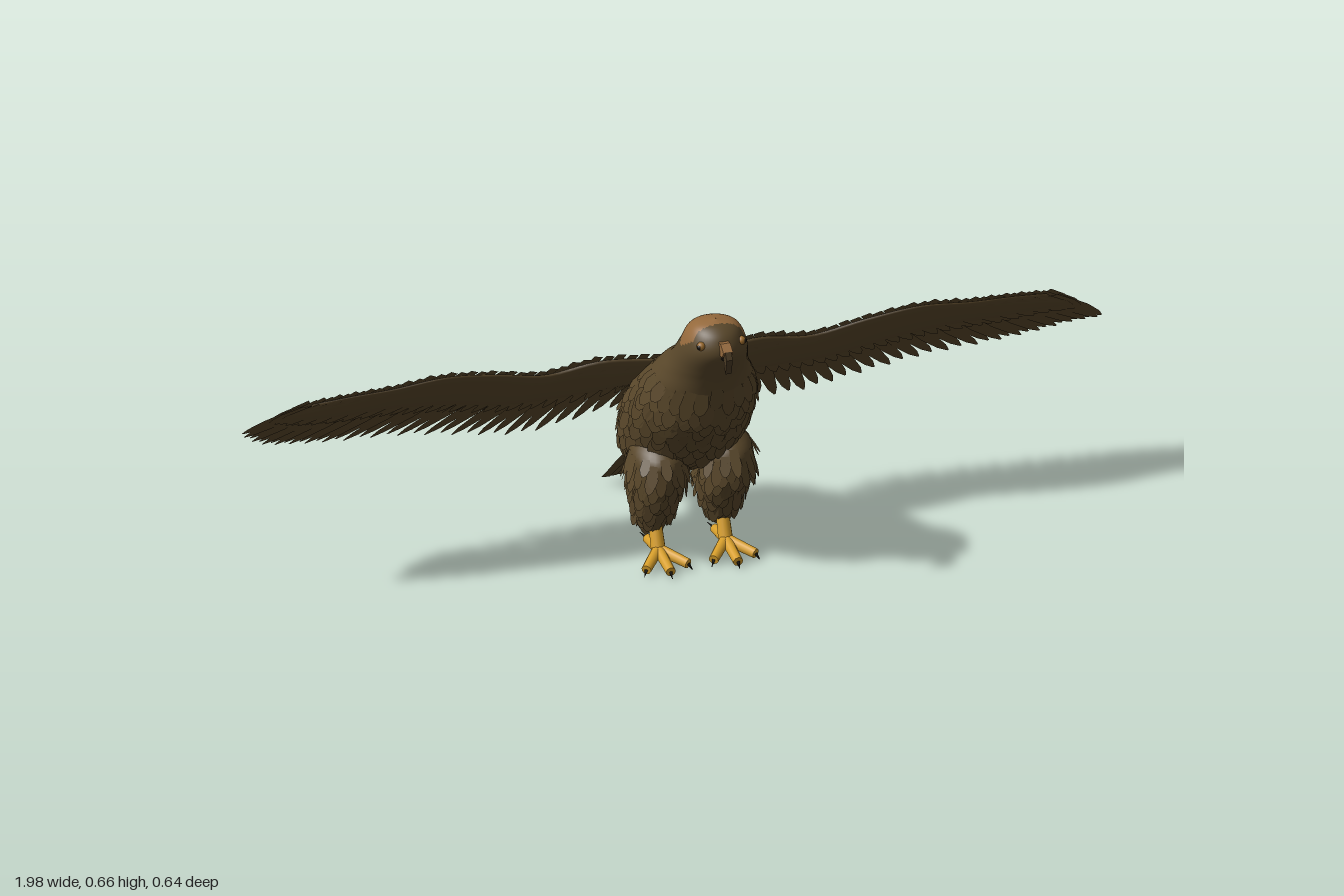
import * as THREE from 'three';
import { mergeGeometries } from 'three/addons/utils/BufferGeometryUtils.js';

const V = (x, y, z) => new THREE.Vector3(x, y, z);
const CX = 0.02; // body centre line

const mat = (name, color, side = THREE.FrontSide) => {
  const m = new THREE.MeshStandardMaterial({ color, side });
  m.name = name;
  return m;
};

function createRandom(seed) {
  return () => {
    seed = (seed * 16807) % 2147483647;
    return seed / 2147483647;
  };
}

// Surface through horizontal slices [y, zFront, zBack, halfWidth], ordered downward
function sliceSurface(slices, xc) {
  const a = new THREE.CatmullRomCurve3(slices.map(s => V(s[0], s[1], s[2])), false, 'catmullrom', 0.5);
  const b = new THREE.CatmullRomCurve3(slices.map(s => V(s[0], s[3], 0)), false, 'catmullrom', 0.5);
  return (t, ang) => {
    const p = a.getPoint(Math.min(t, 1)), w = b.getPoint(Math.min(t, 1)).y;
    return V(xc + w * Math.sin(ang), p.x, (p.y + p.z) / 2 + (p.y - p.z) / 2 * Math.cos(ang));
  };
}

// Closed tube over a surface(t, angle); faces passing test() go to material 1
function loft(surface, rows, cols, test = () => false) {
  const pos = [], faces = [[], []], pts = [];
  for (let i = 0; i <= rows; i++) for (let j = 0; j < cols; j++) {
    const p = surface(i / rows, j / cols * Math.PI * 2);
    pts.push(p);
    pos.push(p.x, p.y, p.z);
  }
  for (let i = 0; i < rows; i++) for (let j = 0; j < cols; j++) {
    const k = (j + 1) % cols, a = i * cols + j, b = i * cols + k, c = a + cols, d = b + cols;
    const mid = pts[a].clone().add(pts[d]).multiplyScalar(0.5);
    faces[test(mid) ? 1 : 0].push(a, c, b, b, c, d);
  }
  const g = new THREE.BufferGeometry();
  g.setAttribute('position', new THREE.Float32BufferAttribute(pos, 3));
  g.setIndex([...faces[0], ...faces[1]]);
  g.addGroup(0, faces[0].length, 0);
  g.addGroup(faces[0].length, faces[1].length, 1);
  g.computeVertexNormals();
  return g;
}

// Flat feather from base to tip
function feather(base, tip, halfWidth, normal, tipScale = 0.06) {
  const side = normal.clone().cross(tip.clone().sub(base)).normalize();
  const pos = [], idx = [];
  [[0, 0.75], [0.6, 1], [0.88, Math.max(0.62, tipScale)], [1, tipScale]].forEach(([t, w], i) => {
    const c = base.clone().lerp(tip, t);
    for (const s of [1, -1]) {
      const p = c.clone().addScaledVector(side, s * w * halfWidth);
      pos.push(p.x, p.y, p.z);
    }
    if (i) idx.push(2 * i - 2, 2 * i - 1, 2 * i, 2 * i, 2 * i - 1, 2 * i + 1);
  });
  const g = new THREE.BufferGeometry();
  g.setAttribute('position', new THREE.Float32BufferAttribute(pos, 3));
  g.setIndex(idx);
  g.computeVertexNormals();
  return g;
}

// Rows of overlapping feathers lying on a surface
function plumage(surface, o) {
  const rnd = createRandom(o.seed), list = [];
  for (let i = 0; i < o.rows; i++) for (let j = 0; j < o.cols; j++) {
    const t = o.from + (o.to - o.from) * (i + rnd() * 0.7) / o.rows;
    const a = (j + (i % 2) / 2 + (rnd() - 0.5) * 0.5) / o.cols * Math.PI * 2;
    const p = surface(t, a), down = surface(t + 0.02, a).sub(p).normalize();
    const n = down.clone().cross(surface(t, a + 0.05).sub(p)).normalize();
    const len = o.length * (0.75 + rnd() * 0.5);
    const tip = surface(Math.min(t + o.step, 1), a).sub(p).setLength(len).add(p);
    list.push(feather(p.addScaledVector(n, 0.001), tip.addScaledVector(n, o.lift * (0.5 + rnd())), o.width, n));
  }
  return mergeGeometries(list);
}

// Tapered rod between two points
function rod(a, b, r0, r1, sides = 10) {
  const d = b.clone().sub(a);
  const g = new THREE.CylinderGeometry(r1, r0, d.length(), sides);
  g.applyQuaternion(new THREE.Quaternion().setFromUnitVectors(V(0, 1, 0), d.clone().normalize()));
  const m = a.clone().add(b).multiplyScalar(0.5);
  return g.translate(m.x, m.y, m.z);
}

// Side outline in (z, y) given thickness along x
function sidePlate(points, depth) {
  const shape = new THREE.Shape(points.map(p => new THREE.Vector2(p[0], p[1])));
  const g = new THREE.ExtrudeGeometry(shape, { depth, bevelEnabled: false });
  return g.translate(0, 0, -depth / 2).rotateY(-Math.PI / 2).translate(CX, 0, 0);
}

export function createModel() {
  const brown = mat('brown plumage', 0x59472a, THREE.DoubleSide);
  const tan = mat('tan crown', 0x94693c, THREE.DoubleSide);
  const yellow = mat('yellow feet', 0xd9a02c);
  const horn = mat('horn beak', 0x4a3a24);
  const black = mat('black', 0x17130e);
  const amber = mat('amber eye', 0x9a6a2c);

  const bird = new THREE.Group();
  bird.name = 'bird';
  const add = (name, geometry, material) => {
    const m = new THREE.Mesh(geometry, material);
    m.name = name;
    bird.add(m);
  };

  // Head and body, with the crown patch
  const body = sliceSurface([
    [0.665, 0.226, 0.224, 0.001], [0.655, 0.258, 0.185, 0.04], [0.635, 0.28, 0.15, 0.06],
    [0.6, 0.288, 0.128, 0.073], [0.55, 0.262, 0.088, 0.085], [0.52, 0.247, 0.045, 0.097],
    [0.48, 0.232, 0.005, 0.115], [0.43, 0.22, -0.05, 0.128], [0.38, 0.2, -0.1, 0.134],
    [0.33, 0.16, -0.145, 0.135], [0.28, 0.125, -0.172, 0.132], [0.24, 0.09, -0.187, 0.124],
    [0.2, 0.03, -0.19, 0.105], [0.172, -0.05, -0.182, 0.07], [0.155, -0.139, -0.141, 0.001]
  ], CX);
  const inCrown = p => p.z < 0.243 && p.y > 0.6 + Math.abs(p.z - 0.2) * 0.6;
  add('headAndBody', loft(body, 84, 56, inCrown), [brown, tan]);
  add('bodyFeathers', plumage(body, {
    seed: 11, from: 0.4, to: 0.84, rows: 13, cols: 26, step: 0.08, length: 0.065, lift: 0.008, width: 0.017
  }), brown);

  // Beak
  add('upperBeak', sidePlate([[0.27, 0.605], [0.303, 0.609], [0.313, 0.624], [0.292, 0.637], [0.27, 0.634]], 0.022), tan);
  add('beakHook', sidePlate([[0.3, 0.611], [0.303, 0.59], [0.314, 0.573], [0.322, 0.61], [0.313, 0.626]], 0.014), horn);
  add('lowerBeak', sidePlate([[0.275, 0.594], [0.297, 0.598], [0.302, 0.602], [0.275, 0.605]], 0.016), black);

  // Tail fan
  const tail = [], tailNormal = V(0, 0.69, -0.72);
  for (let i = -5; i <= 5; i++) {
    const base = V(CX + i * 0.007, 0.21, -0.14), tip = V(CX + i * 0.0155, 0.014 + Math.abs(i) * 0.001, -0.32 + Math.abs(i) * 0.001);
    const shift = 0.004 - Math.abs(i) * 0.0012;
    tail.push(feather(base.addScaledVector(tailNormal, shift), tip.addScaledVector(tailNormal, shift), 0.014, tailNormal, 0.75));
  }
  add('tailFeathers', mergeGeometries(tail), brown);

  for (const side of [1, -1]) {
    const label = side > 0 ? 'left' : 'right';

    // Eye
    const out = V(side * 0.8, 0, 0.55);
    const eye = V(CX + side * 0.046, 0.623, 0.263);
    add(label + 'Eye', new THREE.SphereGeometry(0.01, 16, 12).translate(eye.x, eye.y, eye.z), amber);
    const pupil = eye.clone().addScaledVector(out, 0.006);
    add(label + 'Pupil', new THREE.SphereGeometry(0.006, 12, 10).translate(pupil.x, pupil.y, pupil.z), black);

    // Feathered thigh
    const lx = CX + side * 0.077;
    const thigh = sliceSurface([
      [0.31, 0.06, -0.02, 0.02], [0.27, 0.118, -0.04, 0.055], [0.23, 0.128, -0.035, 0.06], [0.18, 0.11, -0.02, 0.056],
      [0.13, 0.075, -0.024, 0.044], [0.09, 0.05, -0.027, 0.032], [0.065, 0.02, -0.025, 0.012]
    ], lx);
    add(label + 'Thigh', loft(thigh, 30, 28), brown);
    add(label + 'ThighFeathers', plumage(thigh, {
      seed: 40 + side, from: 0.15, to: 0.85, rows: 9, cols: 15, step: 0.15, length: 0.055, lift: 0.014, width: 0.013
    }), brown);

    // Shank, toes and claws
    const ankle = V(lx, 0.026, 0.056);
    const foot = [rod(V(lx, 0.1, 0.025), ankle, 0.014, 0.016, 14)], claws = [];
    for (const [dx, dz, claw] of [[0, 0.145, 0.012], [0.048, 0.12, 0.012], [-0.048, 0.12, 0.012], [0, -0.018, 0.055]]) {
      const end = V(lx + dx, 0.014, dz);
      const dir = end.clone().sub(ankle).setY(0).normalize();
      foot.push(rod(ankle, end, 0.013, 0.011));
      claws.push(rod(end, end.clone().addScaledVector(dir, claw).setY(0.002), 0.004, 0.0005, 6));
    }
    add(label + 'Foot', mergeGeometries(foot), yellow);
    add(label + 'Claws', mergeGeometries(claws), black);

    // Wing: leading and trailing edges
    const edge = pts => new THREE.CatmullRomCurve3(pts.map(p => V(side * p[0], p[1], p[2])));
    const lead = edge([
      [0.05, 0.49, 0.05], [0.18, 0.5, 0.04], [0.3, 0.478, 0.025], [0.42, 0.51, 0.048],
      [0.54, 0.53, 0.062], [0.66, 0.515, 0.052], [0.75, 0.508, 0.044], [0.84, 0.495, 0.03]
    ]);
    const tip = side > 0 ? [0.99, 0.383, -0.035] : [0.995, 0.43, 0];
    const trail = edge([
      [0.12, 0.31, -0.09], [0.3, 0.25, -0.145], [0.45, 0.275, -0.135], [0.6, 0.305, -0.12],
      [0.75, 0.325, -0.1], [0.85, 0.345, -0.08], [0.93, 0.37, -0.055], tip
    ]);
    const up = V(0, 0.6, -0.8);
    const at = (s, c) => lead.getPoint(s).lerp(trail.getPoint(s), c);
    const arm = (s, a) => at(s, 0.25 - 0.25 * Math.cos(a)).addScaledVector(up, side * (0.012 - 0.008 * s) * Math.sin(a));
    add(label + 'WingArm', loft(arm, 40, 16), brown);

    // Flight feathers and coverts: [count, chord start, chord end, offset, half width]
    const rows = [[34, 0.15, 1, 0, 0.0165], [36, 0.1, 0.62, 0.009, 0.016], [36, 0.02, 0.38, 0.013, 0.015], [36, 0.1, 0.6, -0.009, 0.016]];
    rows.forEach(([count, c0, c1, off, w], r) => {
      const list = [];
      for (let i = 0; i < count; i++) {
        const s = i / (count - 1);
        const lift = off * (1 - 0.6 * s) + (i % 2) * 0.002;
        const end = at(s, r ? c1 : c1 - (i % 2) * 0.03);
        list.push(feather(at(s, c0).addScaledVector(up, lift), end.addScaledVector(up, lift * 0.5), w, up, 0.12));
      }
      add(label + ['FlightFeathers', 'Coverts', 'ShoulderCoverts', 'UnderwingCoverts'][r], mergeGeometries(list), brown);
    });
  }
  return bird;
}
